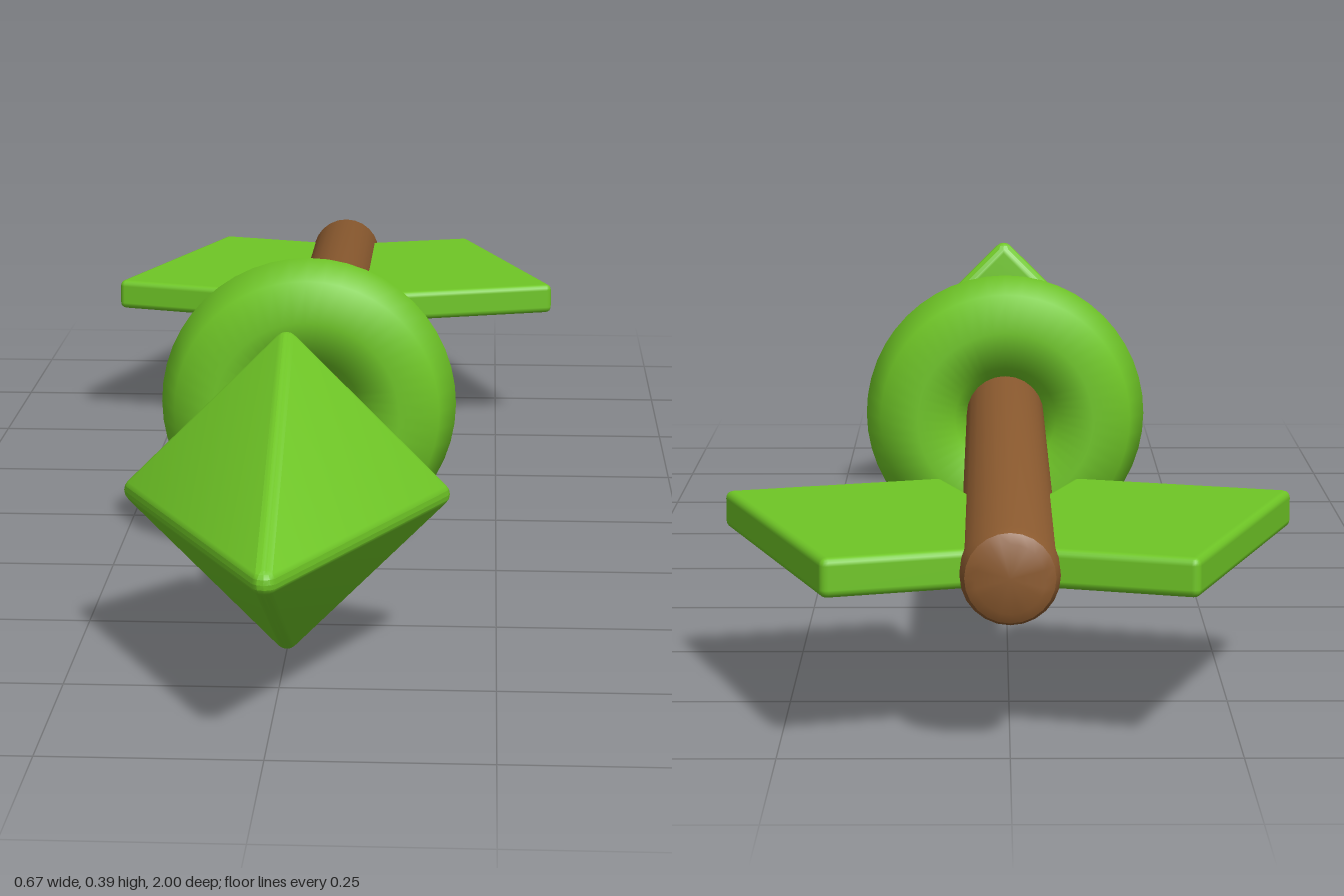
import * as THREE from 'three';
import { toCreasedNormals } from 'three/addons/utils/BufferGeometryUtils.js';
import { RoundedBoxGeometry } from 'three/addons/geometries/RoundedBoxGeometry.js';
import { ConvexGeometry } from 'three/addons/geometries/ConvexGeometry.js';

const AXIS_Y = 0.198; // height of the arrow's centre line

export function createModel() {
  const arrow = new THREE.Group();
  arrow.name = 'arrow';
  const green = new THREE.MeshStandardMaterial({ color: 0x6fc626 });
  const brown = new THREE.MeshStandardMaterial({ color: 0x8b5a2f });

  const add = (name, geometry, material, x = 0, z = 0) => {
    const mesh = new THREE.Mesh(geometry, material);
    mesh.name = name;
    mesh.position.set(x, AXIS_Y, z);
    arrow.add(mesh);
    return mesh;
  };

  // Shaft: turned rod with a bevelled tail end
  const profile = [[0, -1], [0.038, -1], [0.049, -0.994], [0.054, -0.98], [0.054, 0.62], [0, 0.62]]
    .map(([r, l]) => new THREE.Vector2(r, l));
  const rod = new THREE.LatheGeometry(profile, 24).rotateX(Math.PI / 2);
  add('shaft', toCreasedNormals(rod, 0.7), brown);

  // Head: four-sided point with softened edges, hulled around a small ball at each corner
  const r = 0.015, half = 0.178;
  const corners = [[0, 0, 0.985], [half, 0, 0.605], [-half, 0, 0.605], [0, half, 0.605], [0, -half, 0.605]];
  const points = [];
  for (const corner of corners) {
    const ball = new THREE.SphereGeometry(r, 12, 8).getAttribute('position');
    for (let i = 0; i < ball.count; i++) {
      points.push(new THREE.Vector3().fromBufferAttribute(ball, i).add(new THREE.Vector3(...corner)));
    }
  }
  add('head', toCreasedNormals(new ConvexGeometry(points), 0.6), green);

  // Ring around the shaft, eight-sided in section
  add('ring', new THREE.TorusGeometry(0.122, 0.073, 8, 48), green, 0, 0.138);

  // Fins: two bevelled slabs splayed outwards towards the front
  for (const side of [1, -1]) {
    const fin = add(side > 0 ? 'leftFin' : 'rightFin',
      new RoundedBoxGeometry(0.27, 0.044, 0.432, 2, 0.009), green, side * 0.14, -0.752);
    fin.rotation.y = side * 0.318;
  }

  return arrow;
}
